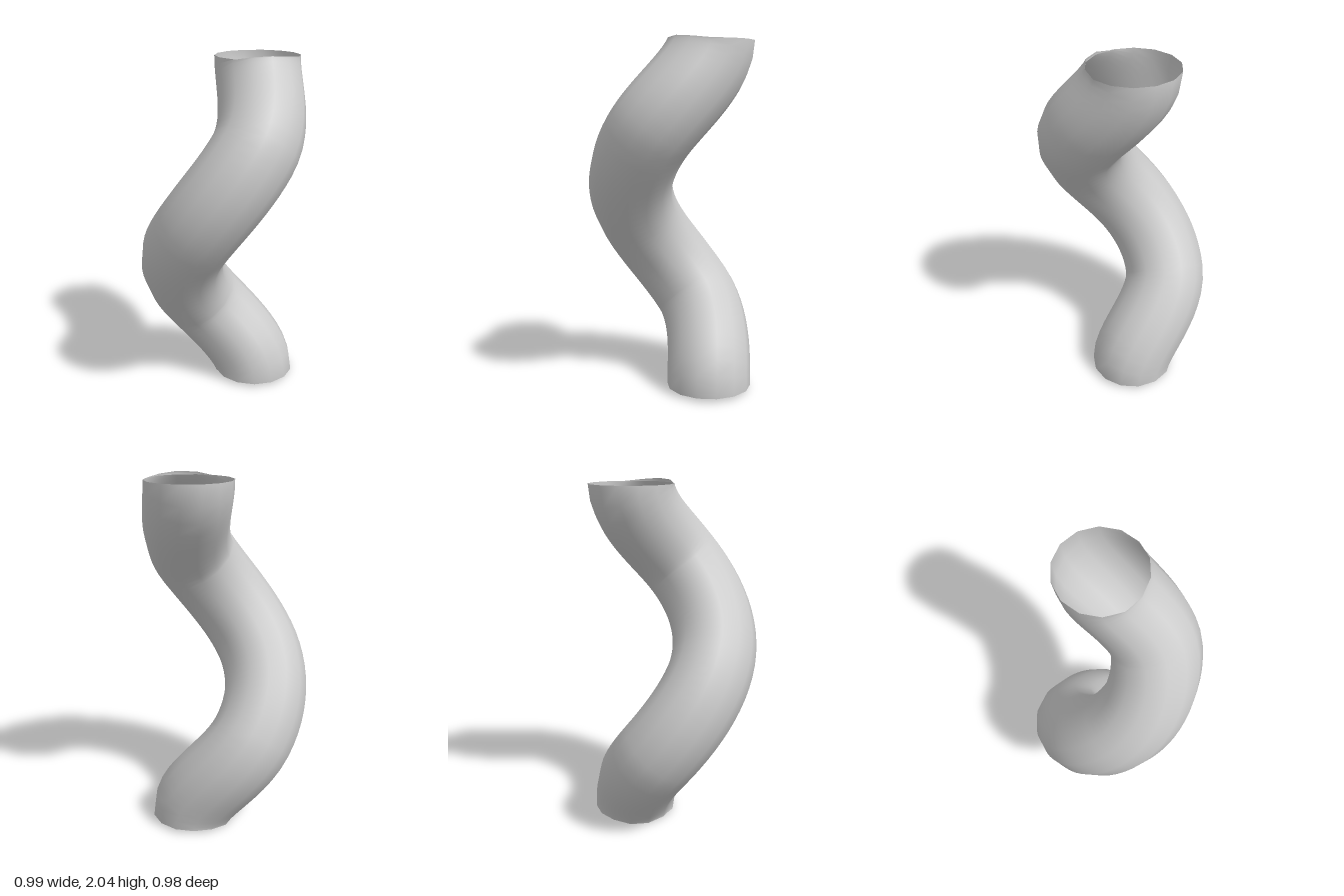
import * as THREE from 'three';

const R = 0.247;      // distance of the path from the axis, and pipe radius
const SLOPE = 0.81;   // sideways slope where the path crosses the axis
const STEP = 0.5;     // height of each quarter turn

// Knots of the path: offset and slope per unit height, ends leave vertically
const X = [[R, 0], [0, -SLOPE], [-R, 0], [0, SLOPE], [R, 0]];
const Z = [[0, 0], [-R, 0], [0, SLOPE], [R, 0], [0, 0]];

// Cubic Hermite interpolation between knots
function hermite(knots, t) {
  const i = Math.min(3, Math.max(0, Math.floor(t * 4)));
  const s = t * 4 - i;
  const [a, ma] = knots[i];
  const [b, mb] = knots[i + 1];
  const s2 = s * s, s3 = s2 * s;
  return a * (2 * s3 - 3 * s2 + 1) + b * (3 * s2 - 2 * s3)
    + STEP * (ma * (s3 - 2 * s2 + s) + mb * (s3 - s2));
}

// One full turn, laid out a quarter turn round so a pipe edge starts on x
class SpiralPath extends THREE.Curve {
  getPoint(t, target = new THREE.Vector3()) {
    return target.set(-hermite(Z, t), 2 * t, hermite(X, t));
  }
}

export function createModel() {
  const group = new THREE.Group();
  group.name = 'spiralPipe';

  // Open, smooth, fourteen-sided pipe
  const geometry = new THREE.TubeGeometry(new SpiralPath(), 48, R, 14, false);
  geometry.rotateY(Math.PI / 2);
  const pipe = new THREE.Mesh(
    geometry,
    new THREE.MeshStandardMaterial({ color: 0xcccccc, side: THREE.DoubleSide })
  );
  pipe.name = 'pipe';
  group.add(pipe);
  return group;
}
